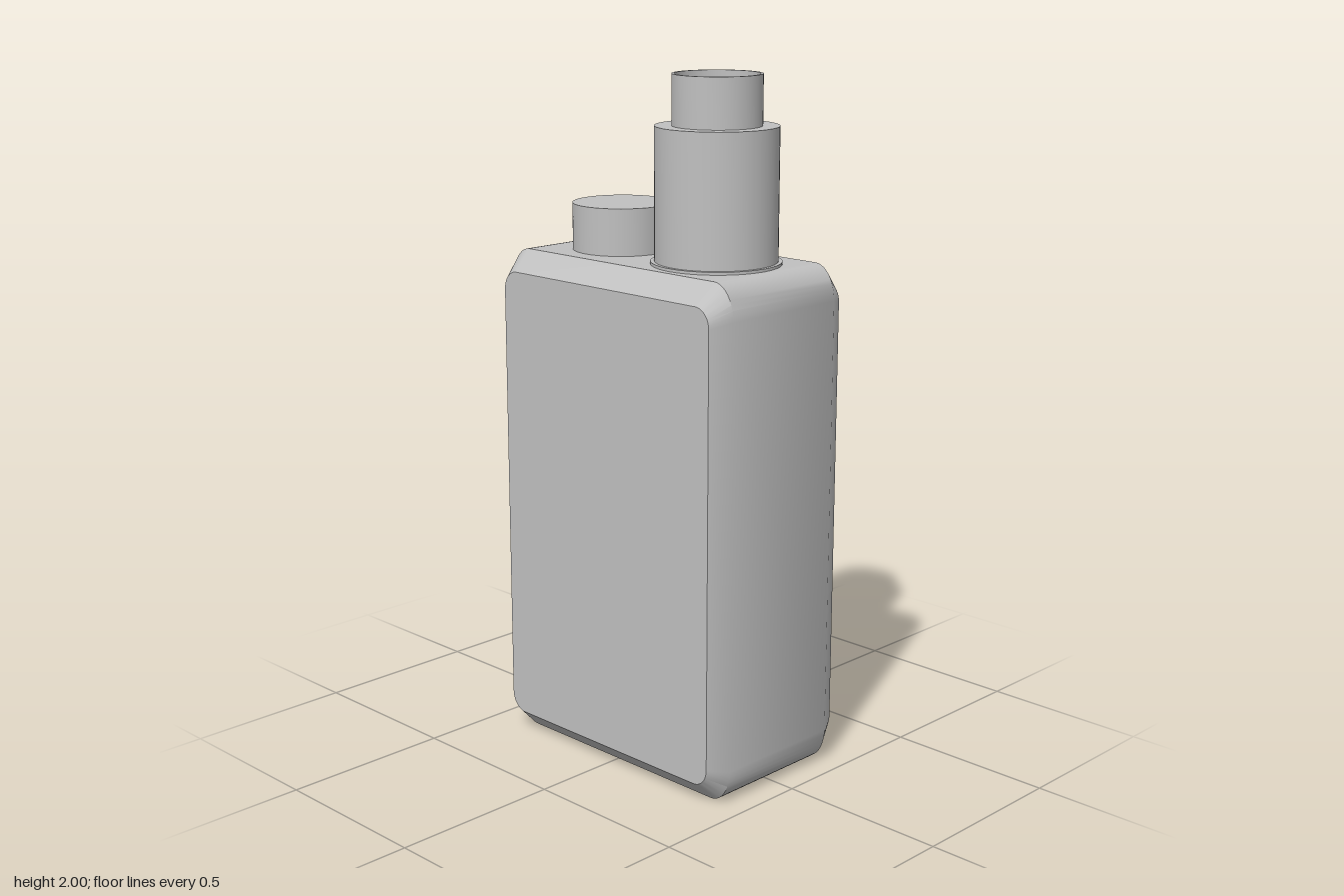
import * as THREE from 'three';
import { toCreasedNormals } from 'three/addons/utils/BufferGeometryUtils.js';

const grey = new THREE.MeshStandardMaterial({ color: 0xc0c0c0 });
grey.name = 'satin grey';

function add(parent, name, geometry, x = 0, y = 0, z = 0) {
  const mesh = new THREE.Mesh(geometry, grey);
  mesh.name = name;
  mesh.position.set(x, y, z);
  parent.add(mesh);
  return mesh;
}

// Counter-clockwise rounded rectangle with elliptical corners
function roundedOutline(x0, x1, y0, y1, rx, ry, steps = 10) {
  const corners = [[x1 - rx, y0 + ry], [x1 - rx, y1 - ry], [x0 + rx, y1 - ry], [x0 + rx, y0 + ry]];
  const points = [];
  corners.forEach(([cx, cy], k) => {
    for (let i = 0; i <= steps; i++) {
      const a = (k - 1 + i / steps) * Math.PI / 2;
      points.push(new THREE.Vector2(cx + rx * Math.cos(a), cy + ry * Math.sin(a)));
    }
  });
  return points;
}

// Box body lofted through four outlines, with chamfered front and back rims
function bodyGeometry() {
  const face = roundedOutline(-0.4, 0.413, 0.06, 1.42, 0.05, 0.055);
  const girth = roundedOutline(-0.43, 0.445, 0, 1.48, 0.07, 0.1);
  const rings = [[face, -0.265], [girth, -0.205], [girth, 0.205], [face, 0.265]];
  const n = face.length;
  const positions = [];
  const index = [];
  for (const [outline, z] of rings) for (const p of outline) positions.push(p.x, p.y, z);
  positions.push(0, 0.74, -0.265, 0, 0.74, 0.265);
  for (let j = 0; j < n; j++) {
    const k = (j + 1) % n;
    for (let i = 0; i < 3; i++) {
      const a = i * n + j, b = i * n + k;
      index.push(a, b, b + n, a, b + n, a + n);
    }
    index.push(4 * n, k, j, 4 * n + 1, 3 * n + j, 3 * n + k);
  }
  const geometry = new THREE.BufferGeometry();
  geometry.setAttribute('position', new THREE.Float32BufferAttribute(positions, 3));
  geometry.setIndex(index);
  return toCreasedNormals(geometry, 0.6);
}

// Plate on the -x side, rising from inside the wall out to x = -out
function sidePlate(parent, name, z, y, width, height, radius, out, rim = 0) {
  const outline = (inset) => roundedOutline(-width / 2 + inset, width / 2 - inset,
    -height / 2 + inset, height / 2 - inset, radius - inset, radius - inset);
  const shape = new THREE.Shape(outline(0));
  if (rim) shape.holes.push(new THREE.Path(outline(rim)));
  const geometry = new THREE.ExtrudeGeometry(shape, { depth: out - 0.42, bevelEnabled: false });
  const mesh = add(parent, name, toCreasedNormals(geometry, 0.6), -0.42, y, z);
  mesh.rotation.y = -Math.PI / 2;
}

export function createModel() {
  const model = new THREE.Group();
  model.name = 'boxDevice';
  add(model, 'body', bodyGeometry());

  // Round cap on top
  add(model, 'topCap', new THREE.CylinderGeometry(0.142, 0.142, 0.145, 48), -0.175, 1.5425, 0.01);

  // Tank with base ring, shoulder and hollow mouthpiece
  const profile = [
    [0.183, 1.47], [0.183, 1.488], [0.172, 1.488], [0.172, 1.86], [0.125, 1.86],
    [0.125, 2], [0.117, 2], [0.117, 1.8], [0, 1.8],
  ].map(([r, y]) => new THREE.Vector2(r, y));
  add(model, 'tankAndMouthpiece', toCreasedNormals(new THREE.LatheGeometry(profile, 64), 0.6), 0.19, 0, 0);

  // Controls on the side
  const controls = new THREE.Group();
  controls.name = 'sideControls';
  model.add(controls);
  sidePlate(controls, 'buttonRim', -0.0125, 1.21, 0.235, 0.24, 0.1, 0.452, 0.036);
  sidePlate(controls, 'buttonPad', -0.0125, 1.21, 0.155, 0.16, 0.058, 0.448);
  sidePlate(controls, 'screen', -0.0115, 0.65, 0.287, 0.74, 0.07, 0.438);
  sidePlate(controls, 'chargingPort', -0.0115, 0.195, 0.235, 0.1, 0.05, 0.438);
  return model;
}
